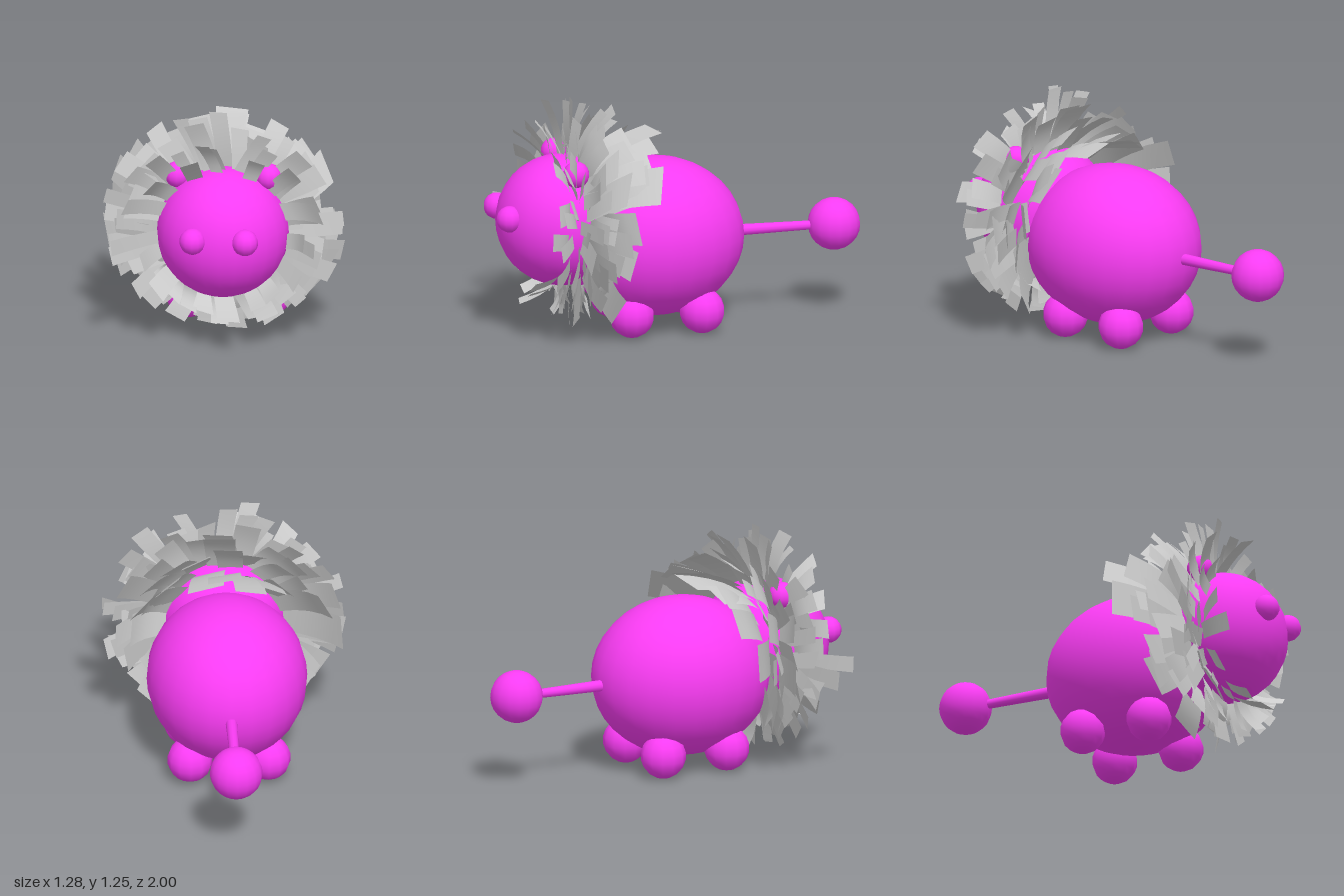
import * as THREE from 'three';
import { mergeGeometries } from 'three/addons/utils/BufferGeometryUtils.js';

const HEAD = { y: 0.61, z: 0.615, r: 0.347 };

// Small seeded random source, returning values in -amount..amount
let seed = 11;
function jitter(amount) {
  seed = (seed * 16807) % 2147483647;
  return (seed / 2147483647 * 2 - 1) * amount;
}

// One curved lock of hair: a strip swept along a quadratic curve
function lock(angle, row) {
  const s = Math.sin(angle), c = Math.cos(angle);
  const rootZ = row.rootZ - 0.01 * s + jitter(0.025);
  const rootR = Math.sqrt(HEAD.r ** 2 - (rootZ - HEAD.z) ** 2) - 0.01;
  const tipZ = row.tipZ - row.lean * s + jitter(0.06);
  // Locks are shorter under the chin and, in the back rows, on top
  const tipR = row.tipR - row.shrink * Math.max(s, 0) - 0.1 * Math.max(-s, 0) + jitter(0.07);
  const at = (r, z, a) => new THREE.Vector3(r * Math.cos(a), HEAD.y + r * Math.sin(a), z);
  const tipAngle = angle + jitter(0.13);
  const curve = new THREE.QuadraticBezierCurve3(
    at(rootR, rootZ, angle),
    at((rootR + tipR) / 2 + row.bulge, (rootZ + tipZ) / 2 + row.bow + jitter(0.02), (angle + tipAngle) / 2),
    at(tipR, tipZ, tipAngle)
  );
  const across = new THREE.Vector3(s, -c, jitter(0.3)).normalize();
  const width = row.width * (1 + jitter(0.25));
  const geo = new THREE.PlaneGeometry(1, 1, 1, 4);
  const pos = geo.attributes.position;
  for (let i = 0; i < pos.count; i++) {
    const t = pos.getY(i) + 0.5;
    const p = curve.getPoint(t).addScaledVector(across, pos.getX(i) * width * (0.85 + 0.15 * t));
    pos.setXYZ(i, p.x, p.y, p.z);
  }
  geo.computeVertexNormals();
  return geo;
}

export function createModel() {
  seed = 11;
  const model = new THREE.Group();
  const skin = new THREE.MeshStandardMaterial({ color: 0xfa3cf4 });
  const hair = new THREE.MeshStandardMaterial({ color: 0xcccccc, side: THREE.DoubleSide });

  const ball = (name, r, x, y, z, w = 12, h = 9) => {
    const mesh = new THREE.Mesh(new THREE.SphereGeometry(r, w, h), skin);
    mesh.name = name;
    mesh.position.set(x, y, z);
    model.add(mesh);
    return mesh;
  };

  // Egg-shaped body, longer than wide, and round head
  ball('body', 0.422, 0, 0.49, 0.125, 24, 18).scale.z = 1.16;
  ball('head', HEAD.r, 0, HEAD.y, HEAD.z, 24, 18);

  // Mirrored eyes, ears and feet
  for (const [side, x] of [['left', 1], ['right', -1]]) {
    ball(side + 'Eye', 0.07, x * 0.138, 0.668, 0.93);
    ball(side + 'Ear', 0.07, x * 0.24, 0.915, 0.595);
    ball(side + 'FrontFoot', 0.12, x * 0.205, 0.12, 0.285);
    ball(side + 'BackFoot', 0.12, x * 0.205, 0.12, -0.095);
  }

  // Tail rod with a ball at its end
  const rod = new THREE.Mesh(new THREE.CylinderGeometry(0.024, 0.031, 0.44, 12), skin);
  rod.name = 'tailRod';
  rod.rotation.x = -Math.PI / 2;
  rod.position.set(0, 0.486, -0.54);
  model.add(rod);
  ball('tailTip', 0.139, 0, 0.486, -0.861, 16, 12);

  // Mane: rings of locks, fanning from forward to backward
  const mane = new THREE.Group();
  mane.name = 'mane';
  const rows = [
    { n: 16, rootZ: 0.66, tipZ: 0.79, tipR: 0.51, width: 0.10, lean: 0.01, shrink: 0, bow: -0.03, bulge: 0.01 },
    { n: 26, rootZ: 0.62, tipZ: 0.69, tipR: 0.56, width: 0.10, lean: 0.02, shrink: 0, bow: -0.03, bulge: 0 },
    { n: 30, rootZ: 0.58, tipZ: 0.60, tipR: 0.59, width: 0.11, lean: 0.04, shrink: 0, bow: 0, bulge: 0 },
    { n: 30, rootZ: 0.55, tipZ: 0.50, tipR: 0.60, width: 0.13, lean: 0.08, shrink: 0.02, bow: 0.02, bulge: 0.01 },
    { n: 26, rootZ: 0.52, tipZ: 0.41, tipR: 0.59, width: 0.15, lean: 0.13, shrink: 0.07, bow: 0.03, bulge: 0.02 },
    { n: 22, rootZ: 0.47, tipZ: 0.30, tipR: 0.57, width: 0.18, lean: 0.17, shrink: 0.12, bow: 0.04, bulge: 0.03 }
  ];
  rows.forEach((row, k) => {
    const locks = [];
    for (let i = 0; i < row.n; i++) {
      locks.push(lock((i + k * 0.5) / row.n * Math.PI * 2 + jitter(0.1), row));
    }
    const ring = new THREE.Mesh(mergeGeometries(locks), hair);
    ring.name = 'maneRow' + (k + 1);
    mane.add(ring);
  });
  model.add(mane);

  return model;
}
